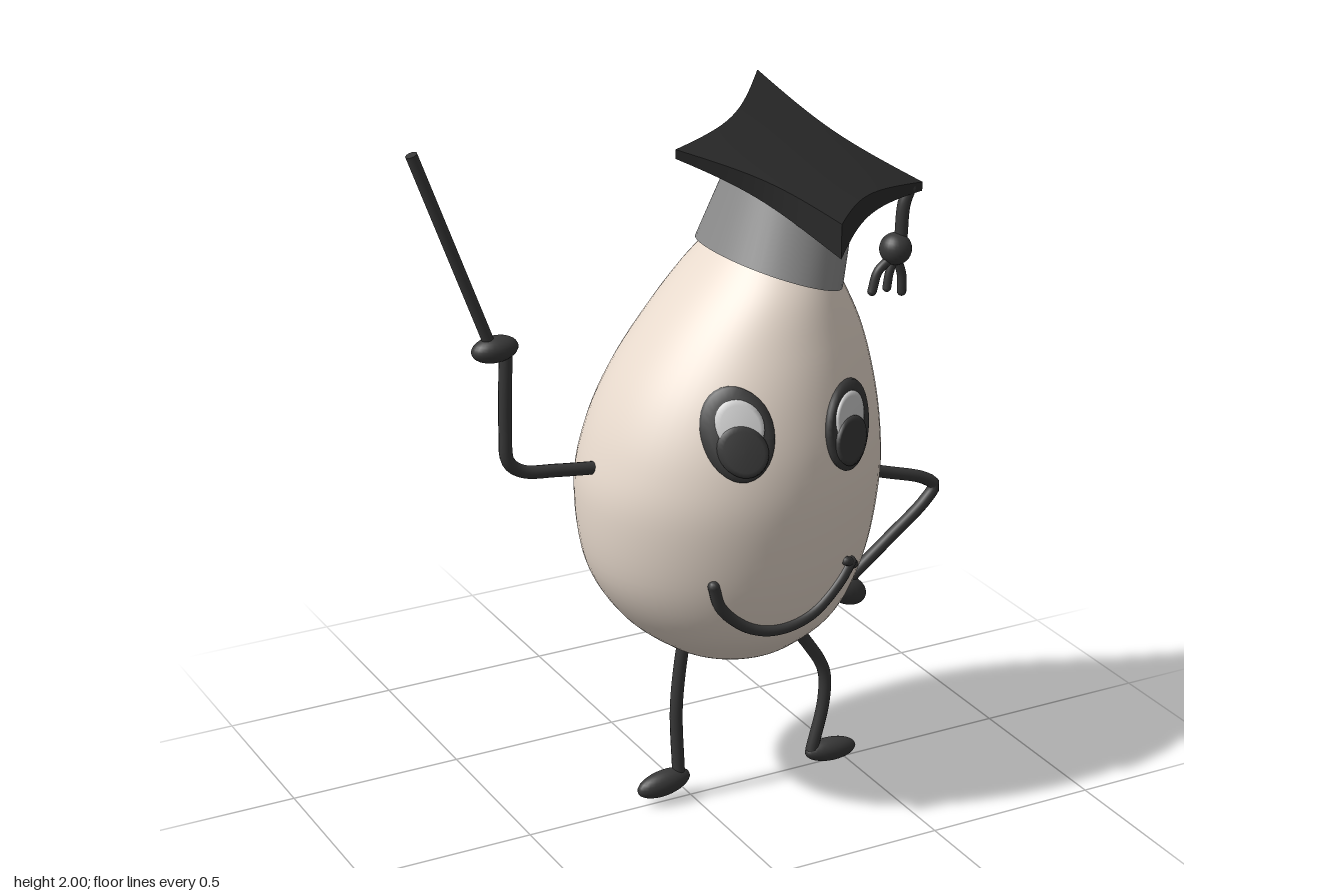
import * as THREE from 'three';

const mat = (color) => new THREE.MeshStandardMaterial({ color, roughness: 0.8 });
const V = (x, y, z = 0) => new THREE.Vector3(x, y, z);

// Egg slices from bottom to top: height, centre x, radius x, radius z
const EGG = [
  [0.44, 0.13, 0, 0], [0.446, 0.13, 0.08, 0.08], [0.462, 0.13, 0.135, 0.13],
  [0.5, 0.126, 0.207, 0.2], [0.6, 0.115, 0.315, 0.305], [0.75, 0.107, 0.395, 0.358],
  [0.95, 0.112, 0.425, 0.386], [1.1, 0.125, 0.41, 0.382], [1.25, 0.148, 0.366, 0.352],
  [1.4, 0.18, 0.293, 0.305], [1.55, 0.21, 0.19, 0.24], [1.66, 0.235, 0.1, 0.14], [1.7, 0.25, 0, 0],
];
const eggMain = new THREE.CatmullRomCurve3(EGG.map(([y, cx, rx]) => V(rx, y, cx)), false, 'catmullrom', 0.5);
const eggDepth = new THREE.CatmullRomCurve3(EGG.map(([, , , rz]) => V(rz, 0)), false, 'catmullrom', 0.5);

function eggSlice(t) {
  const p = eggMain.getPoint(t);
  return { cx: p.z, cy: p.y, rx: Math.max(p.x, 0), rz: Math.max(eggDepth.getPoint(t).x, 0) };
}

// Front depth of the egg at a given x and y
function eggFront(x, y) {
  let lo = 0, hi = 1;
  for (let i = 0; i < 24; i++) {
    const mid = (lo + hi) / 2;
    if (eggMain.getPoint(mid).y < y) lo = mid; else hi = mid;
  }
  const s = eggSlice(lo);
  return s.rz * Math.sqrt(Math.max(0, 1 - ((x - s.cx) / s.rx) ** 2));
}

// Skin over stacked elliptical sections, each tilted about z
function loft(sections, seg = 48) {
  const pos = [], idx = [];
  sections.forEach(({ cx, cy, rx, rz, tilt = 0 }, i) => {
    for (let j = 0; j < seg; j++) {
      const a = (j / seg) * Math.PI * 2, u = rx * Math.cos(a);
      pos.push(cx + u * Math.cos(tilt), cy - u * Math.sin(tilt), rz * Math.sin(a));
      if (i === sections.length - 1) continue;
      const p = i * seg + j, q = i * seg + ((j + 1) % seg);
      idx.push(p, p + seg, q, q, p + seg, q + seg);
    }
  });
  const g = new THREE.BufferGeometry();
  g.setAttribute('position', new THREE.Float32BufferAttribute(pos, 3));
  g.setIndex(idx);
  g.computeVertexNormals();
  return g;
}

// Thin elliptical patch that follows the egg's front
function patch(cx, cy, rx, ry, rot, lift) {
  const g = new THREE.RingGeometry(0.001, 1, 32, 6);
  const p = g.attributes.position;
  for (let i = 0; i < p.count; i++) {
    const r = Math.hypot(p.getX(i), p.getY(i)), k = Math.min(1, r * 1.2) / r;
    const u = p.getX(i) * k * rx, v = p.getY(i) * k * ry;
    const x = cx + u * Math.cos(rot) - v * Math.sin(rot);
    const y = cy + u * Math.sin(rot) + v * Math.cos(rot);
    p.setXYZ(i, x, y, eggFront(x, y) + (r > 0.95 ? -0.01 : lift));
  }
  g.computeVertexNormals();
  return g;
}

export function createModel() {
  const model = new THREE.Group();
  const shell = mat(0xe8dacd), dark = mat(0x383838), black = mat(0x2b2b2b);
  const grey = mat(0x8c8c8c), light = mat(0xcccccc);

  const add = (name, geo, material, parent = model) => {
    const m = new THREE.Mesh(geo, material);
    m.name = name;
    parent.add(m);
    return m;
  };
  const group = (name) => {
    const g = new THREE.Group();
    g.name = name;
    model.add(g);
    return g;
  };
  const ball = (name, x, y, rx, ry, rz, rot, parent) => {
    const m = add(name, new THREE.SphereGeometry(1, 24, 16), dark, parent);
    m.position.set(x, y, 0);
    m.scale.set(rx, ry, rz);
    m.rotation.z = rot;
  };
  // Round limb along a smooth path, closed by small balls at both ends
  const limb = (name, pts, r, parent, caps = true) => {
    const path = pts.map((p) => V(...p));
    add(name, new THREE.TubeGeometry(new THREE.CatmullRomCurve3(path), 40, r, 12), dark, parent);
    if (!caps) return;
    for (const e of [path[0], path[path.length - 1]]) {
      add(name + 'End', new THREE.SphereGeometry(r, 12, 8), dark, parent).position.copy(e);
    }
  };

  // Body
  add('eggBody', loft(Array.from({ length: 73 }, (_, i) => eggSlice(i / 72)), 64), shell);

  // Eyes: dark oval, light glint, dark pupil rising in front of it
  for (const [name, x, y] of [['rightEye', -0.028, 1.218], ['leftEye', 0.294, 1.193]]) {
    const eye = group(name);
    add('eyeOval', patch(x, y, 0.084, 0.118, -0.13, 0.012), dark, eye);
    add('eyeGlint', patch(x + 0.003, y + 0.024, 0.056, 0.066, -0.2, 0.016), light, eye);
    add('pupil', patch(x, y - 0.038, 0.06, 0.065, -0.15, 0.02), dark, eye);
  }

  // Smile laid on the egg, with a short cheek line at its left end
  const onEgg = ([x, y]) => [x, y, eggFront(x, y) + 0.003];
  const smile = group('smile');
  limb('mouth', [[-0.1, 0.8], [-0.075, 0.73], [0.005, 0.658], [0.09, 0.636], [0.193, 0.658],
    [0.285, 0.73], [0.325, 0.78]].map(onEgg), 0.016, smile);
  limb('cheekLine', [[0.302, 0.792], [0.326, 0.778], [0.345, 0.762]].map(onEgg), 0.013, smile);

  // Cap band with closed top
  const top = { cx: 0.29, cy: 1.725, rx: 0.18, rz: 0.195, tilt: 0.36 };
  add('capBand', loft([
    { cx: 0.235, cy: 1.555, rx: 0.188, rz: 0.252, tilt: 0.33 }, top, top, { ...top, rx: 0, rz: 0 },
  ]), grey);

  // Cap board: a slab bent to four corners, with hollow edges and a thick front corner
  const corners = [[V(-0.06, 1.915, 0.03), 0.025], [V(0.373, 1.985, -0.318), 0.022],
    [V(0.712, 1.705, 0), 0.025], [V(0.28, 1.74, 0.305), 0.095]];
  const centre = V(0.327, 1.836, 0.005);
  const board = new THREE.BoxGeometry(2, 1, 2, 16, 1, 16);
  const bp = board.attributes.position;
  for (let i = 0; i < bp.count; i++) {
    const a = bp.getX(i), b = bp.getZ(i);
    const w = [(1 - a) * (1 - b), (1 + a) * (1 - b), (1 + a) * (1 + b), (1 - a) * (1 + b)];
    const p = V(0, 0), pinch = 1 - 0.17 * (a * a + b * b - 2 * a * a * b * b);
    let thick = 0;
    corners.forEach(([c, t], k) => { p.addScaledVector(c, w[k] / 4); thick += (t * w[k]) / 4; });
    p.sub(centre).multiplyScalar(pinch).add(centre);
    bp.setXYZ(i, p.x, p.y - (bp.getY(i) < 0 ? thick : 0), p.z);
  }
  board.computeVertexNormals();
  add('capBoard', board, black);

  // Tassel
  const tassel = group('tassel');
  limb('tasselCord', [[0.672, 1.695], [0.655, 1.65], [0.648, 1.56]], 0.018, tassel);
  ball('tasselKnot', 0.632, 1.527, 0.045, 0.045, 0.045, 0, tassel);
  limb('tasselStrand', [[0.615, 1.5], [0.578, 1.47], [0.56, 1.415]], 0.013, tassel);
  limb('tasselStrand', [[0.628, 1.5], [0.614, 1.46], [0.607, 1.418]], 0.012, tassel);
  limb('tasselStrand', [[0.636, 1.5], [0.653, 1.45], [0.655, 1.4]], 0.013, tassel);

  // Raised right arm holding a pointer
  const rightArm = group('rightArm');
  limb('arm', [[-0.28, 1.058], [-0.4, 1.073], [-0.5, 1.09], [-0.54, 1.125], [-0.546, 1.22],
    [-0.54, 1.43]], 0.018, rightArm);
  ball('hand', -0.57, 1.445, 0.065, 0.035, 0.04, 0.05, rightArm);
  const rod = add('pointer', new THREE.CylinderGeometry(0.016, 0.016, 0.6, 12), dark, rightArm);
  rod.position.set(-0.679, 1.715, 0);
  rod.rotation.z = Math.atan2(0.205, 0.55);

  // Left arm bent toward the hip
  const leftArm = group('leftArm');
  limb('arm', [[0.49, 0.908], [0.62, 0.868], [0.745, 0.826], [0.78, 0.797], [0.75, 0.755],
    [0.63, 0.66], [0.5, 0.56]], 0.018, leftArm);
  ball('hand', 0.498, 0.532, 0.066, 0.042, 0.04, -0.5, leftArm);

  // Legs and feet
  const rightLeg = group('rightLeg');
  limb('leg', [[-0.015, 0.52], [-0.032, 0.42], [-0.045, 0.28], [-0.038, 0.08]], 0.018, rightLeg);
  ball('foot', -0.085, 0.06, 0.082, 0.037, 0.034, 0.14, rightLeg);
  const leftLeg = group('leftLeg');
  limb('leg', [[0.28, 0.51], [0.375, 0.39], [0.428, 0.295], [0.43, 0.2], [0.394, 0.05]], 0.018, leftLeg);
  ball('foot', 0.455, 0.036, 0.082, 0.034, 0.034, -0.05, leftLeg);

  return model;
}
